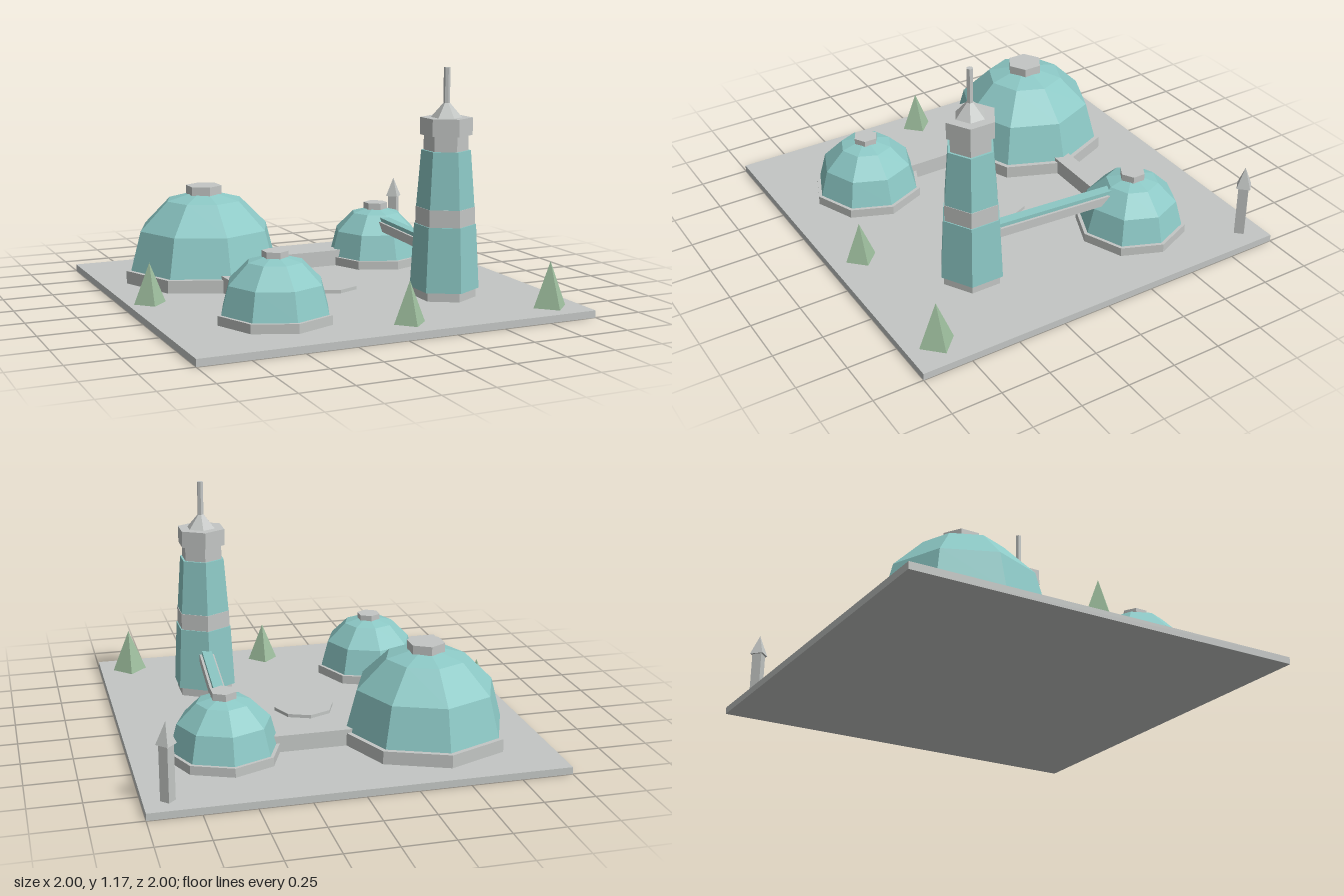
import * as THREE from 'three';

const mat = (name, color) => {
  const m = new THREE.MeshStandardMaterial({ color, flatShading: true });
  m.name = name;
  return m;
};

export function createModel() {
  const grey = mat('pale grey', 0xc3c6c4);
  const teal = mat('teal glass', 0x8cc8c5);
  const green = mat('leaf green', 0x9dbd9d);
  const root = new THREE.Group();
  const GROUND = 0.035;

  const group = (name, x, z) => {
    const g = new THREE.Group();
    g.name = name;
    g.position.set(x, 0, z);
    root.add(g);
    return g;
  };
  const add = (parent, name, geo, material, x = 0, y = 0, z = 0) => {
    const m = new THREE.Mesh(geo, material);
    m.name = name;
    m.position.set(x, y, z);
    parent.add(m);
    return m;
  };
  // Faceted prism or cone between two heights
  const prism = (parent, name, material, sides, r0, r1, y0, y1) =>
    add(parent, name, new THREE.CylinderGeometry(r1, r0, y1 - y0, sides), material, 0, (y0 + y1) / 2, 0);

  // Ground slab
  add(root, 'groundSlab', new THREE.BoxGeometry(2, GROUND, 2), grey, 0, GROUND / 2, 0);

  // Domes: octagonal plinth, glass shell, hexagonal roof cap
  const dome = (name, x, z, r, plinthR, plinthTop, capR, cap0, cap1) => {
    const g = group(name, x, z);
    prism(g, 'plinth', grey, 8, plinthR, plinthR, GROUND, plinthTop);
    add(g, 'shell', new THREE.SphereGeometry(r, 8, 3, 0, Math.PI * 2, 0, Math.PI / 2), teal, 0, plinthTop, 0);
    prism(g, 'roofCap', grey, 6, capR, capR, cap0, cap1);
  };
  dome('mainDome', -0.45, -0.45, 0.4, 0.425, 0.1, 0.094, 0.475, 0.52);
  dome('frontDome', -0.45, 0.53, 0.267, 0.285, 0.08, 0.063, 0.325, 0.36);
  dome('sideDome', 0.55, -0.45, 0.262, 0.28, 0.08, 0.065, 0.325, 0.36);

  // Ground corridors linking the domes
  add(root, 'sideCorridor', new THREE.BoxGeometry(0.55, 0.085, 0.088), grey, 0.125, 0.0755, -0.45);
  add(root, 'frontCorridor', new THREE.BoxGeometry(0.088, 0.085, 0.55), grey, -0.45, 0.0755, 0.1);

  // Landing pad
  const pad = group('landingPad', 0.04, 0.04);
  prism(pad, 'padDisc', grey, 8, 0.155, 0.155, GROUND, 0.052);

  // Tower: stacked hexagonal stages [name, material, bottom r, top r, bottom y, top y]
  const tower = group('tower', 0.487, 0.447);
  [
    ['footing', grey, 0.155, 0.155, GROUND, 0.08],
    ['lowerGlass', teal, 0.17, 0.152, 0.08, 0.4],
    ['middleBand', grey, 0.146, 0.146, 0.4, 0.485],
    ['upperGlass', teal, 0.143, 0.121, 0.485, 0.765],
    ['neck', grey, 0.109, 0.109, 0.765, 0.84],
    ['head', grey, 0.128, 0.128, 0.84, 0.925],
    ['roof', grey, 0.076, 0.012, 0.925, 1.0],
    ['mast', grey, 0.016, 0.016, 0.98, 1.168],
  ].forEach(([name, m, r0, r1, y0, y1]) => prism(tower, name, m, 6, r0, r1, y0, y1));

  // Raised bridge from the side dome to the tower
  const a = new THREE.Vector2(0.543, -0.35), b = new THREE.Vector2(0.49, 0.4);
  const bridge = group('skyBridge', (a.x + b.x) / 2, (a.y + b.y) / 2);
  bridge.rotation.y = Math.atan2(b.x - a.x, b.y - a.y);
  const span = a.distanceTo(b);
  add(bridge, 'bridgeDeck', new THREE.BoxGeometry(0.075, 0.047, span), grey, 0, 0.2525, 0);
  add(bridge, 'bridgeGlass', new THREE.BoxGeometry(0.05, 0.02, span), teal, 0, 0.286, 0);

  // Beacon post at the back corner
  const beacon = group('beacon', 0.887, -0.89);
  prism(beacon, 'post', grey, 4, 0.035, 0.035, GROUND, 0.305);
  prism(beacon, 'tip', grey, 4, 0.048, 0, 0.305, 0.412);

  // Trees
  [[-0.89, 0, 0.08, 0.235], [0.085, 0.845, 0.08, 0.235], [0.843, 0.845, 0.09, 0.257]].forEach(
    ([x, z, r, top]) => prism(group('tree', x, z), 'foliage', green, 4, r, 0, GROUND, top));

  return root;
}
